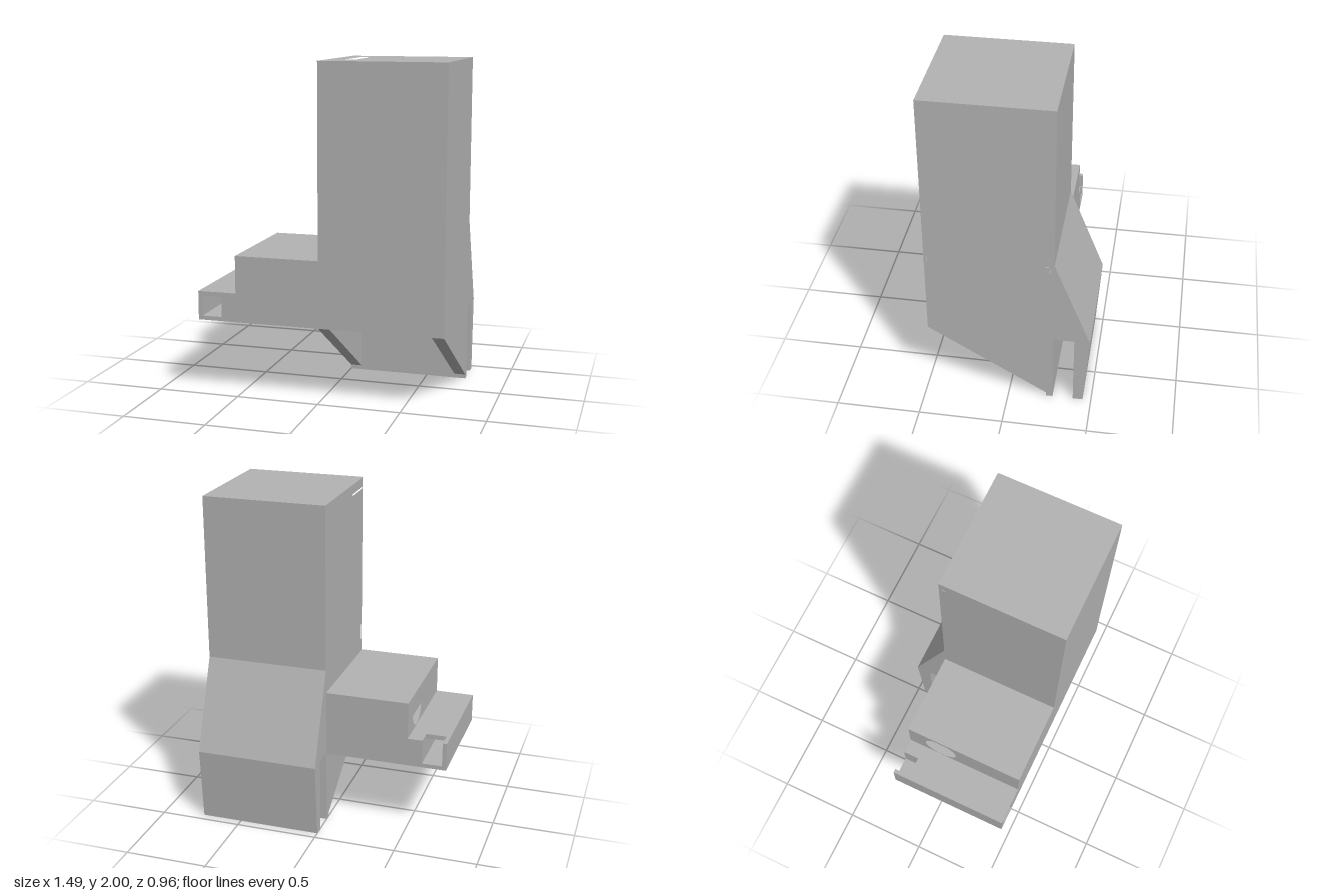
import * as THREE from 'three';

const grey = new THREE.MeshStandardMaterial({ color: 0xb2b2b2 });
const FRONT = 0.482, BACK = -0.267, RIGHT = 0.747, WALL = 0.07, BASE = 0.455;

function addMesh(group, name, geometry) {
  const mesh = new THREE.Mesh(geometry, grey);
  mesh.name = name;
  group.add(mesh);
  return mesh;
}

const rect = (a0, a1, b0, b1) => [[a0, b0], [a1, b0], [a1, b1], [a0, b1]];

function makeShape(points, holes = []) {
  const toVectors = (list) => list.map(([a, b]) => new THREE.Vector2(a, b));
  const shape = new THREE.Shape(toVectors(points));
  shape.holes = holes.map((h) => new THREE.Path(toVectors(h)));
  return shape;
}

// Outline in (z, y), extruded along x from x0 to x1
function alongX(points, x0, x1, holes = []) {
  const flip = (list) => list.map(([z, y]) => [-z, y]);
  const geo = new THREE.ExtrudeGeometry(makeShape(flip(points), holes.map(flip)),
    { depth: x1 - x0, bevelEnabled: false });
  return geo.rotateY(Math.PI / 2).translate(x0, 0, 0);
}

// Outline in (x, y), extruded along z from z0 to z1
function alongZ(points, z0, z1, holes = []) {
  return new THREE.ExtrudeGeometry(makeShape(points, holes),
    { depth: z1 - z0, bevelEnabled: false }).translate(0, 0, z0);
}

// Outline in (x, z), extruded along y from y0 to y1
function alongY(points, y0, y1, holes = []) {
  const flip = (list) => list.map(([x, z]) => [x, -z]);
  return new THREE.ExtrudeGeometry(makeShape(flip(points), holes.map(flip)),
    { depth: y1 - y0, bevelEnabled: false }).rotateX(-Math.PI / 2).translate(0, y0, 0);
}

export function createModel() {
  const model = new THREE.Group();
  model.name = 'slottedTower';

  // Tower profile: rear chute lip, open rear gap and lower plate
  const top = 1.96;
  const rear = [
    [BACK, 1.0], [-0.482, BASE], [-0.45, 0], [-0.39, 0], [-0.39, BASE],
    [BACK, BASE], [BACK, 0], [-0.228, 0],
  ];
  const gussetOutline = [[FRONT, top], [BACK, top], ...rear, [-0.228, 0.025], [FRONT, BASE]];
  const coreOutline = [[FRONT, top], [BACK, top], ...rear, [-0.228, BASE], [FRONT, BASE]];

  addMesh(model, 'towerCore', alongX(coreOutline, WALL, RIGHT - WALL));

  // Side walls carry the sloping gussets and narrow slits
  const cornerSlit = (z, dir) => [
    [z, 0.945], [z, 0.99], [z + dir * 0.027, 0.99],
    [z + dir * 0.027, 0.984], [z + dir * 0.006, 0.984], [z + dir * 0.006, 0.945],
  ];
  addMesh(model, 'leftWall', alongX(gussetOutline, RIGHT - WALL, RIGHT,
    [cornerSlit(0.466, -1), cornerSlit(-0.243, 1)]));
  addMesh(model, 'rightWall', alongX(gussetOutline, 0, WALL, [
    rect(-0.25, 0.465, 1.932, 1.942),
    rect(0.45, 0.468, 0.94, 1.04),
  ]));

  // Top plate with a narrow slot
  addMesh(model, 'slottedTop', alongY(rect(0, RIGHT, BACK, FRONT), top, 2,
    [rect(0.1, 0.165, -0.06, 0.27)]));

  // Stepped side box
  const sideLeft = -0.747, step = -0.51, ledge = 0.63, boxTop = 0.857, facing = 0.05;
  addMesh(model, 'sideBox',
    alongZ(rect(step + facing, 0, ledge, boxTop), BACK, FRONT));

  // Step face with a round hole
  const hole = [];
  for (let i = 0; i < 20; i++) {
    const a = (i / 20) * Math.PI * 2;
    hole.push([-0.05 + 0.104 * Math.cos(a), 0.738 + 0.104 * Math.sin(a)]);
  }
  addMesh(model, 'stepFace',
    alongX(rect(BACK, FRONT, ledge, boxTop), step, step + facing, [hole]));

  // Lower ledge: square tunnel that opens upward at the rear
  const h0 = -0.722, h1 = -0.6, floor = 0.48, notch = -0.17;
  addMesh(model, 'ledgeTunnel', alongZ(rect(sideLeft, 0, BASE, ledge), notch, FRONT,
    [rect(h0, h1, floor, 0.602)]));
  addMesh(model, 'ledgeNotch', alongZ([
    [sideLeft, BASE], [0, BASE], [0, ledge], [h1, ledge],
    [h1, floor], [h0, floor], [h0, ledge], [sideLeft, ledge],
  ], BACK, notch));

  return model;
}
